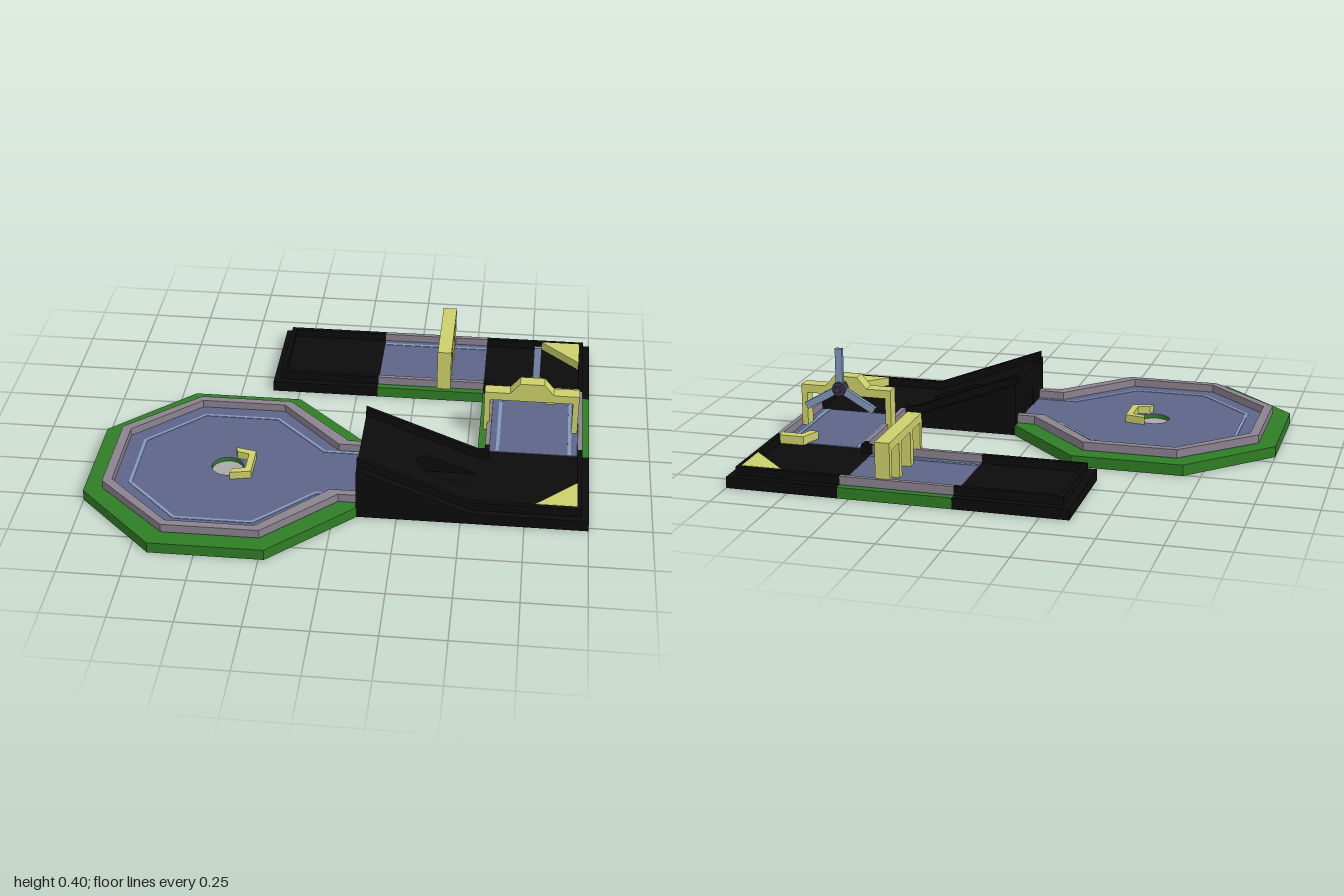
import * as THREE from 'three';

const mat = (color) => new THREE.MeshStandardMaterial({ color, flatShading: true });
const BASE = 0.045, WALL = 0.08;

export function createModel() {
  const course = new THREE.Group();
  course.name = 'miniatureGolfCourse';
  const green = mat(0x2f7d25), blue = mat(0x5d6588), gray = mat(0x8b828e);
  const black = mat(0x0b0b0b), yellow = mat(0xcdd06a), pale = mat(0x8199bd);
  const dark = mat(0x3a3350), cupGray = mat(0xaaaaaa);

  const add = (name, geometry, material, parent = course) => {
    const mesh = new THREE.Mesh(geometry, material);
    mesh.name = name;
    parent.add(mesh);
    return mesh;
  };
  const shapeOf = (pts) => new THREE.Shape(pts.map(([x, y]) => new THREE.Vector2(x, y)));
  const extrude = (shape, depth) => new THREE.ExtrudeGeometry(shape, { depth, bevelEnabled: false, curveSegments: 16 });
  // Plan outline in [x, z], raised from y0 to y1, with an optional round hole
  const slab = (name, pts, y0, y1, material, parent, hole) => {
    const shape = shapeOf(pts.map(([x, z]) => [x, -z]));
    if (hole) shape.holes.push(new THREE.Path().absarc(hole[0], -hole[1], hole[2], 0, Math.PI * 2, true));
    return add(name, extrude(shape, y1 - y0).rotateX(-Math.PI / 2).translate(0, y0, 0), material, parent);
  };
  const block = (name, x0, x1, y0, y1, z0, z1, material, parent) =>
    add(name, new THREE.BoxGeometry(x1 - x0, y1 - y0, z1 - z0)
      .translate((x0 + x1) / 2, (y0 + y1) / 2, (z0 + z1) / 2), material, parent);
  const section = (name) => {
    const g = new THREE.Group();
    g.name = name;
    course.add(g);
    return g;
  };

  // Tile grid lines and half-widths of the lane walls
  const T = 0.455, H = T / 2, OUT = 0.198, IN = 0.179;
  const X = [-0.365, 0.09, 0.545, 1], ZB = -0.845, ZM = -0.39, ZF = 0.065;

  // Octagonal green with a neck on its right side
  const oct = section('octagonGreen');
  const mirror = (pts) => [...pts, ...pts.map(([x, z]) => [x, 0.584 - z]).reverse()];
  const baseLine = mirror([[0.094, 0.064], [-0.228, -0.257], [-0.68, -0.257], [-1, 0.064]]);
  const wallOut = mirror([[0.094, 0.096], [0.016, 0.096], [-0.257, -0.18], [-0.64, -0.18], [-0.927, 0.09]]);
  const wallIn = mirror([[0.094, 0.128], [-0.02, 0.128], [-0.28, -0.148], [-0.63, -0.148], [-0.89, 0.107]]);
  const lineOut = mirror([[0.094, 0.135], [-0.075, 0.135], [-0.296, -0.09], [-0.61, -0.09], [-0.83, 0.134]]);
  const lineIn = mirror([[0.094, 0.148], [-0.08, 0.148], [-0.302, -0.077], [-0.605, -0.077], [-0.817, 0.14]]);
  const cup = [-0.455, 0.29, 0.064];
  slab('octagonBase', baseLine, 0, BASE, green, oct, cup);
  slab('octagonFloor', wallOut, BASE, BASE + 0.003, blue, oct, cup);
  slab('octagonWall', [...wallOut, ...wallIn.reverse()], BASE, WALL, gray, oct);
  slab('octagonLine', [...lineOut, ...lineIn.reverse()], BASE, BASE + 0.005, pale, oct);
  add('cup', new THREE.CylinderGeometry(0.066, 0.066, 0.03, 32).translate(cup[0], 0.015, cup[1]), cupGray, oct);
  slab('cupGuard', [[-0.433, 0.197], [-0.348, 0.216], [-0.348, 0.364], [-0.433, 0.383],
    [-0.424, 0.352], [-0.375, 0.34], [-0.375, 0.24], [-0.424, 0.228]], BASE, WALL, yellow, oct);

  // Straight lanes, modelled along x about their own centre
  const lane = (name, cx, cz, turned) => {
    const g = section(name);
    g.position.set(cx, 0, cz);
    if (turned) g.rotation.y = Math.PI / 2;
    block('laneBase', -H, H, 0, BASE, -H, H, green, g);
    block('laneFloor', -H, H, BASE, BASE + 0.003, -OUT, OUT, blue, g);
    for (const s of [-1, 1]) {
      const strip = (n, a, b, top, m) => block(n, -H, H, BASE, top, Math.min(s * a, s * b), Math.max(s * a, s * b), m, g);
      strip('laneWall', IN, OUT, WALL, gray);
      strip('laneLine', 0.14, 0.154, BASE + 0.005, pale);
    }
  };
  lane('backLane', X[1] + H, ZB + H, false);
  lane('sideLane', X[2] + H, ZM + H, true);

  // Corner tiles, s = 1 in front and -1 at the back
  const corner = (name, cz, s) => {
    const g = section(name);
    const cx = X[2] + H;
    const plan = (pts) => {
      const p = pts.map(([x, z]) => [cx + x, cz + s * z]);
      return s > 0 ? p : p.reverse();
    };
    block('cornerBase', X[2], X[3], 0, BASE, cz - H, cz + H, black, g);
    slab('outerWall', plan([[-H, OUT], [OUT, OUT], [OUT, -H], [IN, -H], [IN, IN], [-H, IN]]), BASE, WALL, black, g);
    slab('innerWall', plan([[-H, -OUT], [-OUT, -OUT], [-OUT, -H], [-IN, -H], [-IN, -IN], [-H, -IN]]), BASE, WALL, black, g);
    slab('cornerBumper', plan([[0.015, 0.18], [0.18, 0.18], [0.18, 0.015]]), BASE, WALL + 0.001, yellow, g);
  };
  corner('frontCorner', ZF + H, 1);
  corner('backCorner', ZB + H, -1);

  // Closed starting tile
  const start = section('startTile');
  const sc = ZB + H, sx = X[0] + H;
  block('startBase', X[0], X[1], 0, BASE, ZB, ZM, black, start);
  slab('startWall', [[H, -OUT], [-OUT, -OUT], [-OUT, OUT], [H, OUT], [H, IN], [-IN, IN], [-IN, -IN], [H, -IN]]
    .map(([x, z]) => [sx + x, sc + z]), BASE, WALL, black, start);

  // Ramp: end face with tunnel notch, its far cap slanted to follow the slope
  const ramp = section('ramp');
  const top = 0.217, rz = ZF + H;
  block('rampBase', X[1], X[2], 0, BASE, ZF, ZF + T, black, ramp);
  const wedge = extrude(shapeOf([[-H, BASE], [-0.058, BASE], [-0.058, 0.12], [-0.015, 0.134], [0.015, 0.134],
    [0.058, 0.12], [0.058, BASE], [H, BASE], [H, top], [-H, top]]), T);
  const p = wedge.attributes.position;
  for (let i = 0; i < p.count; i++) {
    if (p.getZ(i) > 0.1) p.setZ(i, T * (top - p.getY(i)) / (top - BASE));
  }
  wedge.rotateY(Math.PI / 2).translate(X[1], 0, rz);
  wedge.computeVertexNormals();
  add('rampWedge', wedge, black, ramp);
  for (const s of [-1, 1]) {
    const rail = extrude(shapeOf([[X[1], top - 0.01], [X[2], 0.036], [X[2], WALL], [X[1], 0.252]]), OUT - IN);
    add('rampRail', rail.translate(0, 0, rz + s * (OUT + IN) / 2 - (OUT - IN) / 2), black, ramp);
  }

  // Three-opening gate across the back lane
  const gate = section('backGate');
  block('gateBeam', 0.345, 0.404, 0.19, 0.225, -0.805, -0.41, yellow, gate);
  for (const [z0, z1] of [[-0.805, -0.78], [-0.69, -0.66], [-0.555, -0.52], [-0.435, -0.41]]) {
    block('gatePost', 0.345, 0.404, BASE, 0.19, z0, z1, yellow, gate);
  }

  // Windmill arch with turning blades
  const mill = section('windmill');
  const arch = extrude(shapeOf([[0.56, BASE], [0.584, BASE], [0.584, 0.19], [0.925, 0.19], [0.925, BASE], [0.95, BASE],
    [0.95, 0.225], [0.845, 0.225], [0.805, 0.272], [0.705, 0.272], [0.665, 0.225], [0.56, 0.225]]), 0.058);
  add('millArch', arch.translate(0, 0, -0.165), yellow, mill);
  const rotor = new THREE.Group();
  rotor.name = 'rotor';
  rotor.position.set(0.768, 0.23, -0.195);
  mill.add(rotor);
  add('hub', new THREE.CylinderGeometry(0.03, 0.03, 0.04, 8).rotateX(Math.PI / 2), dark, rotor);
  add('axle', new THREE.CylinderGeometry(0.014, 0.014, 0.07, 8).rotateX(Math.PI / 2), dark, rotor);
  for (let i = 0; i < 3; i++) {
    const blade = add('blade', new THREE.BoxGeometry(0.03, 0.15, 0.018).translate(0, 0.095, 0), pale, rotor);
    blade.rotation.z = i * Math.PI * 2 / 3;
  }

  // Angled bumper beside the back corner
  slab('laneBumper', [[0.85, -0.41], [0.952, -0.41], [0.952, -0.37], [0.872, -0.37], [0.852, -0.325], [0.818, -0.325]],
    BASE, WALL + 0.001, yellow);
  return course;
}
